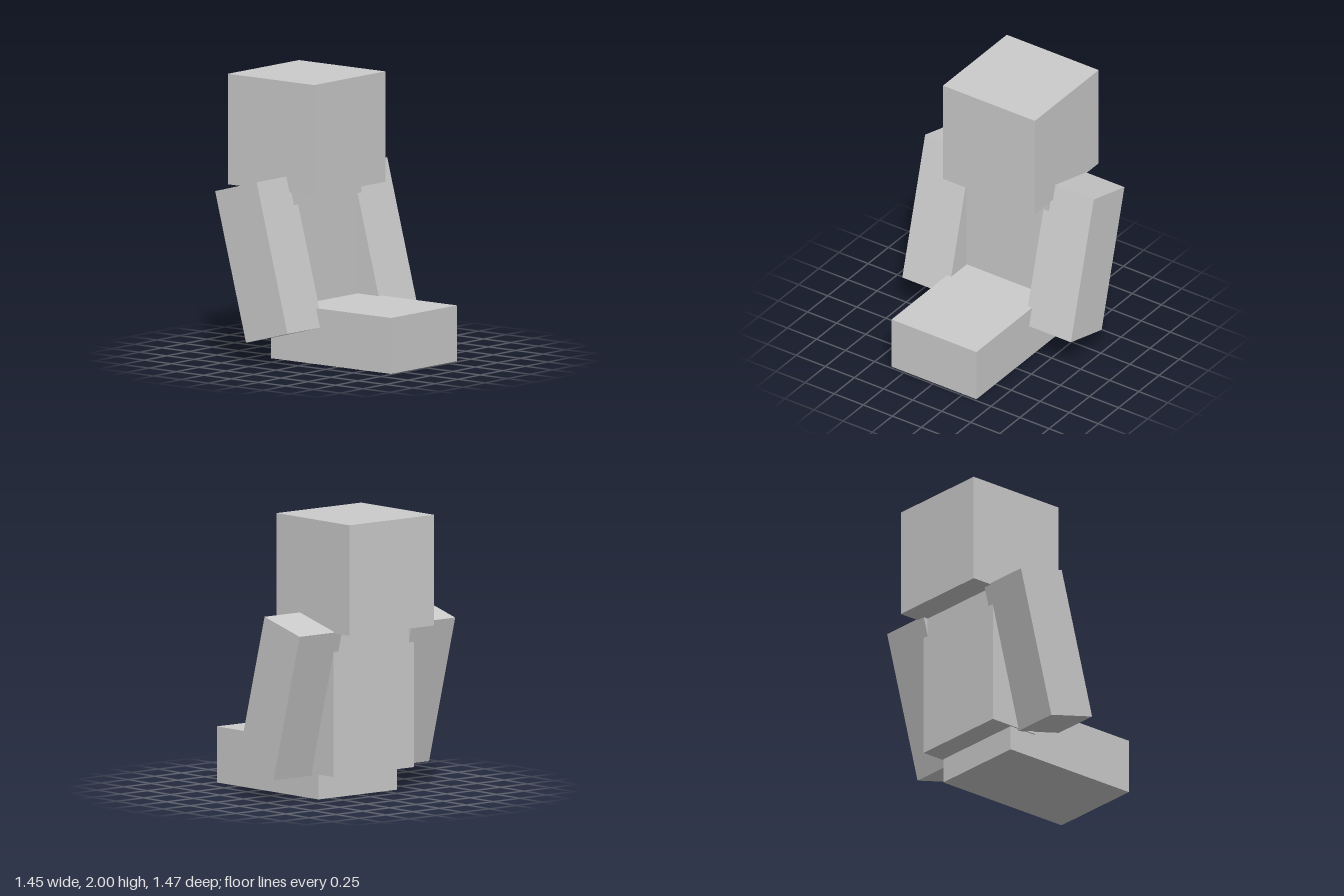
import * as THREE from 'three';

const material = new THREE.MeshStandardMaterial({ color: 0xcccccc, flatShading: true });

// Box given by its size and centre
function block(name, [w, h, d], [x, y, z]) {
  const mesh = new THREE.Mesh(new THREE.BoxGeometry(w, h, d), material);
  mesh.name = name;
  mesh.position.set(x, y, z);
  return mesh;
}

export function createModel() {
  const model = new THREE.Group();
  model.name = 'seatedBlockFigure';

  model.add(
    block('head', [0.79, 0.79, 0.79], [0, 1.605, -0.34]),
    block('torso', [0.75, 1.03, 0.395], [0, 0.695, -0.3425]),
    block('legs', [0.73, 0.4, 1.1], [0, 0.2, 0.185])
  );

  // Arms swing forward and overlap the sides of the torso
  for (const [name, side] of [['leftArm', 1], ['rightArm', -1]]) {
    const arm = block(name, [0.395, 1.093, 0.393], [side * 0.5275, 0.741, -0.2475]);
    arm.rotation.x = THREE.MathUtils.degToRad(-15);
    model.add(arm);
  }

  return model;
}
